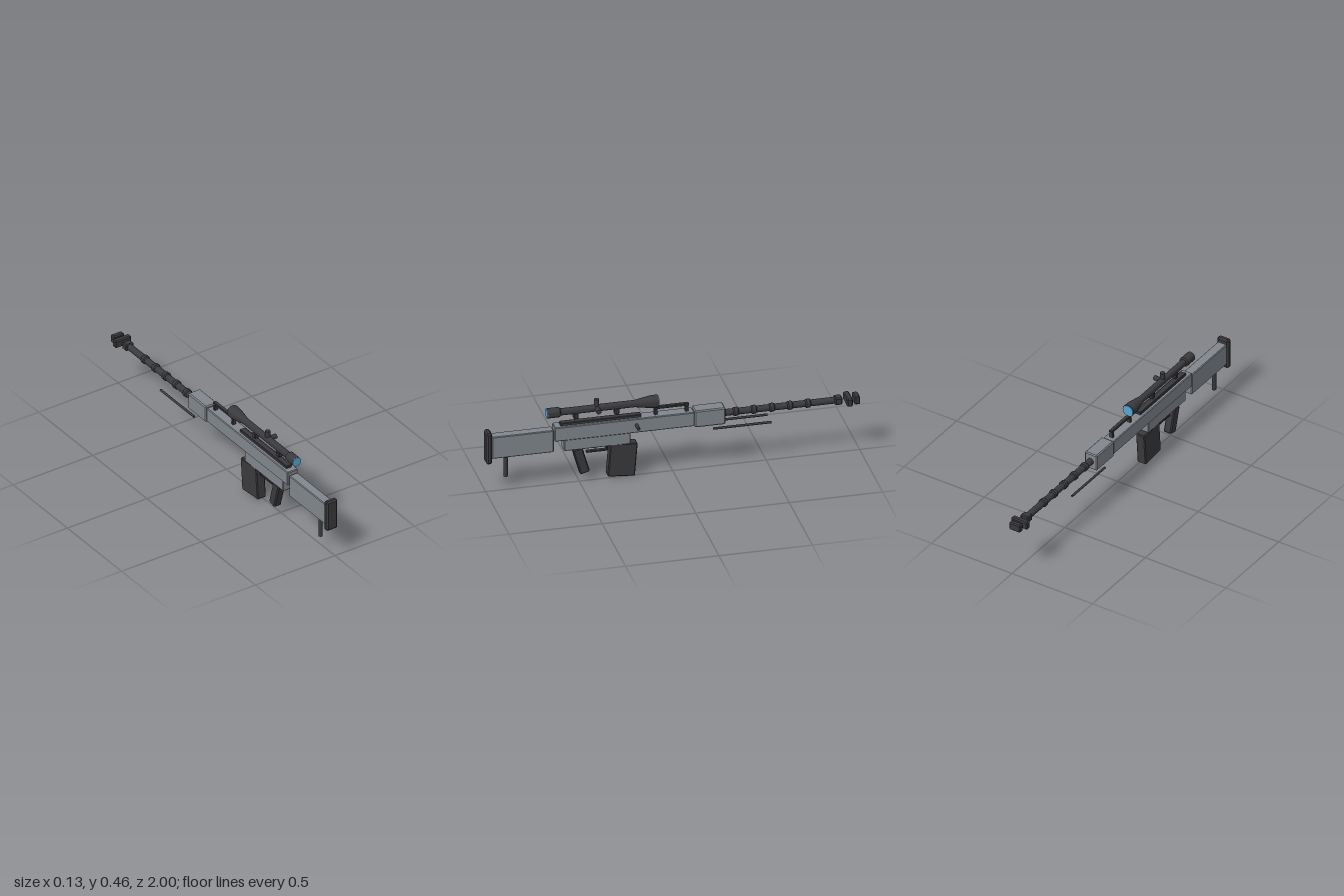
import * as THREE from 'three';
import { toCreasedNormals } from 'three/addons/utils/BufferGeometryUtils.js';
import { ConvexGeometry } from 'three/addons/geometries/ConvexGeometry.js';

export function createModel() {
  const model = new THREE.Group();
  model.name = 'rifle';
  const body = new THREE.Group();
  body.name = 'rifleBody';
  body.position.x = -0.015; // shared centreline
  model.add(body);

  const material = (name, color) => {
    const m = new THREE.MeshStandardMaterial({ color });
    m.name = name;
    return m;
  };
  const grey = material('gunmetal grey', 0x80868c);
  const dark = material('dark polymer', 0x3a393d);
  const blue = material('lens blue', 0x58a6d0);

  const add = (name, geometry, mat, x = 0, y = 0, z = 0) => {
    const mesh = new THREE.Mesh(geometry, mat);
    mesh.name = name;
    mesh.position.set(x, y, z);
    body.add(mesh);
    return mesh;
  };

  // Box with every edge chamfered
  const chamferBox = (w, h, d, b) => {
    const pts = [];
    for (const sx of [-1, 1]) for (const sy of [-1, 1]) for (const sz of [-1, 1]) {
      const [x, y, z] = [w / 2, h / 2, d / 2];
      pts.push(
        new THREE.Vector3(sx * x, sy * (y - b), sz * (z - b)),
        new THREE.Vector3(sx * (x - b), sy * y, sz * (z - b)),
        new THREE.Vector3(sx * (x - b), sy * (y - b), sz * z));
    }
    return new ConvexGeometry(pts);
  };
  // Block given by its width and its y and z ranges
  const block = (name, mat, w, y0, y1, z0, z1, b = 0.004) =>
    add(name, chamferBox(w, y1 - y0, z1 - z0, b), mat, 0, (y0 + y1) / 2, (z0 + z1) / 2);
  // Rod along one axis
  const rod = (name, mat, axis, r, length, x, y, z, sides = 16) => {
    const g = new THREE.CylinderGeometry(r, r, length, sides);
    if (axis === 'z') g.rotateX(Math.PI / 2);
    if (axis === 'x') g.rotateZ(Math.PI / 2);
    return add(name, g, mat, x, y, z);
  };
  // Turned part along z from [radius, z] pairs
  const turned = (name, mat, y, profile) => {
    const g = new THREE.LatheGeometry(profile.map(([r, z]) => new THREE.Vector2(r, z)), 24);
    g.rotateX(Math.PI / 2);
    return add(name, toCreasedNormals(g, 0.6), mat, 0, y, 0);
  };

  // Stock
  block('buttPad', dark, 0.07, 0.167, 0.346, 0.968, 1.0, 0.009);
  block('stock', grey, 0.054, 0.195, 0.321, 0.638, 0.969);
  rod('monopod', dark, 'y', 0.0115, 0.125, 0, 0.137, 0.89);

  // Receiver and handguard
  block('receiver', grey, 0.066, 0.257, 0.338, -0.113, 0.634);
  block('lowerReceiver', grey, 0.054, 0.193, 0.26, 0.227, 0.584);
  block('handguard', grey, 0.076, 0.25, 0.346, -0.278, -0.114, 0.006);
  block('topRail', dark, 0.034, 0.335, 0.353, 0.168, 0.6, 0.003);
  rod('boltHandle', dark, 'x', 0.009, 0.06, 0.05, 0.302, 0.197);

  // Carry handle
  block('carryHandleBar', dark, 0.022, 0.369, 0.383, -0.09, 0.1, 0.003);
  for (const z of [-0.078, 0.088]) block('carryHandlePost', dark, 0.022, 0.333, 0.373, z - 0.008, z + 0.008, 0.003);

  // Grip, trigger and magazine
  const grip = add('grip', chamferBox(0.046, 0.15, 0.053, 0.006), dark, 0, 0.122, 0.489);
  grip.rotation.x = 0.28;
  block('triggerGuard', dark, 0.02, 0.16, 0.17, 0.35, 0.46, 0.002);
  block('triggerGuardPost', dark, 0.02, 0.16, 0.198, 0.345, 0.354, 0.002);
  const trigger = block('trigger', dark, 0.012, 0.177, 0.2, 0.407, 0.416, 0.002);
  trigger.rotation.x = -0.3;
  const magazine = add('magazine', chamferBox(0.054, 0.19, 0.146, 0.005), dark, 0, 0.104, 0.269);
  magazine.rotation.x = -0.08;

  // Barrel with raised bands
  const barrelY = 0.3;
  rod('barrel', dark, 'z', 0.018, 0.62, 0, barrelY, -0.585, 20);
  for (let i = 0; i < 5; i++) {
    const z = -0.34 - i * 0.0965;
    turned('barrelBand', dark, barrelY, [[0.018, z - 0.015], [0.0235, z - 0.009], [0.0235, z + 0.009], [0.018, z + 0.015]]);
  }

  // Muzzle brake in separate blocks
  block('muzzleCollar', dark, 0.05, 0.28, 0.32, -0.908, -0.867, 0.006);
  block('muzzleBrakeWide', dark, 0.1, 0.276, 0.321, -0.957, -0.926, 0.006);
  block('muzzleBrakeTip', dark, 0.068, 0.276, 0.321, -1.0, -0.969, 0.006);

  // Folded bipod
  for (const side of [-1, 1]) rod('bipodLeg', dark, 'z', 0.0065, 0.31, side * 0.0435, 0.237, -0.366, 10);

  // Scope
  const scopeY = 0.412;
  turned('scopeTube', dark, scopeY, [
    [0, 0.077], [0.034, 0.077], [0.034, 0.105], [0.031, 0.13], [0.019, 0.2],
    [0.019, 0.598], [0.027, 0.604], [0.027, 0.668], [0, 0.668]]);
  rod('rearLens', blue, 'z', 0.026, 0.005, 0, scopeY, 0.6695, 24);
  rod('frontLens', blue, 'z', 0.031, 0.005, 0, scopeY, 0.0755, 24);
  rod('topTurret', dark, 'y', 0.0135, 0.05, 0, 0.438, 0.403);
  rod('sideTurret', dark, 'x', 0.0135, 0.05, 0.026, scopeY, 0.403);
  for (const z of [0.297, 0.515]) block('scopeMount', dark, 0.036, 0.366, 0.402, z - 0.013, z + 0.013, 0.005);

  return model;
}
